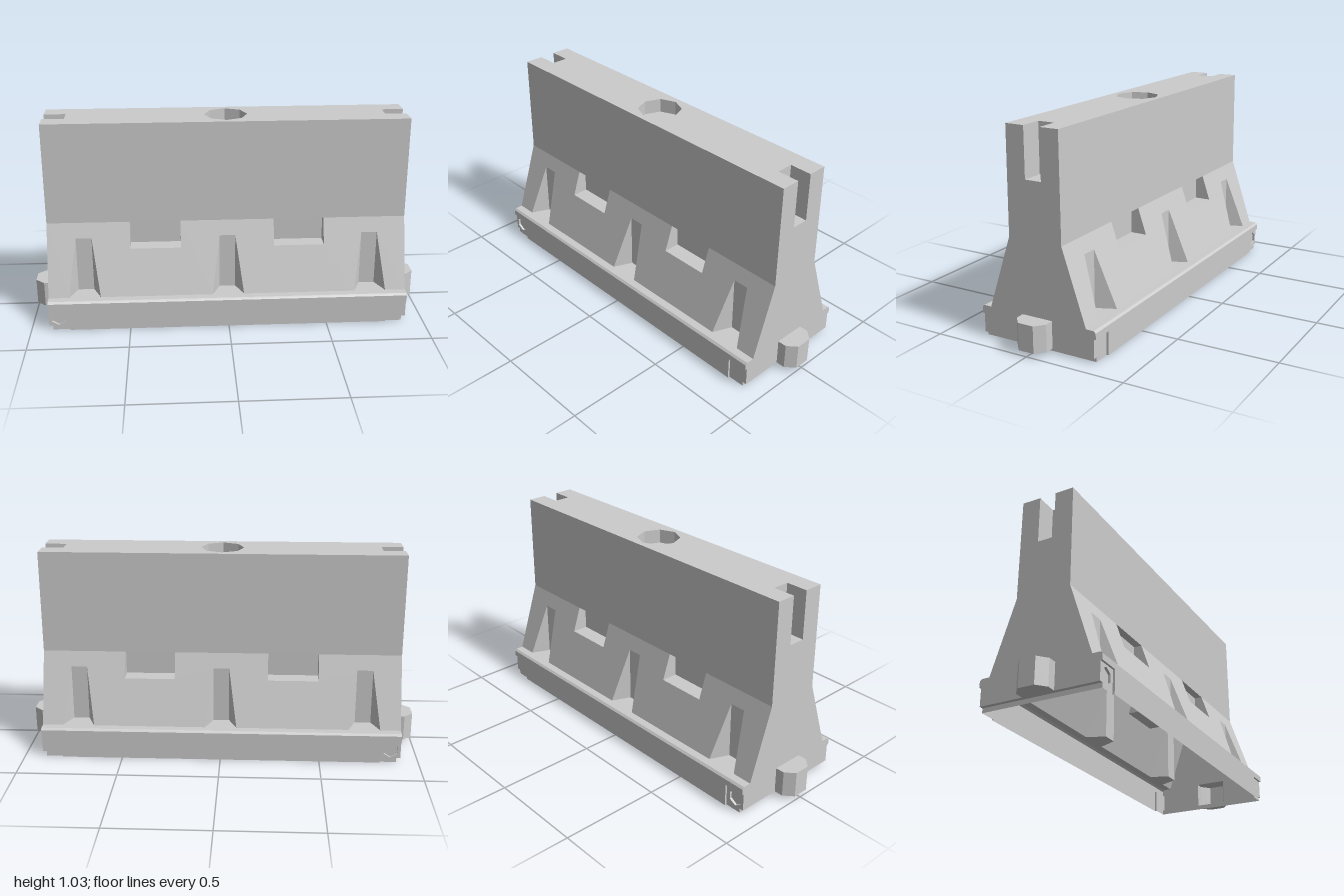
import * as THREE from 'three';
import { mergeGeometries } from 'three/addons/utils/BufferGeometryUtils.js';

const END = 0.91, FOOT = 0.89, LEDGE = 0.155, FOLD = 0.515, TOP = 1.03, STEP = 0.023;
const CORNER_X = 0.805, CORNER_Y = 0.115, SLOT_X = 0.8, SLOT_Y = 0.79, SLOT_Z = 0.042;
const slopeZ = (y) => 0.26 - (0.12 * (y - LEDGE)) / (FOLD - LEDGE);

export function createModel() {
  const group = new THREE.Group();
  const material = new THREE.MeshStandardMaterial({ color: 0xcccccc, flatShading: true, side: THREE.DoubleSide });
  const parts = {};

  // Stores a flat-sided surface, turned so that it faces along the hint
  function add(name, geometry, hint) {
    const g = geometry.index ? geometry.toNonIndexed() : geometry;
    g.deleteAttribute('uv');
    g.computeVertexNormals();
    const n = new THREE.Vector3().fromBufferAttribute(g.attributes.normal, 0);
    if (n.dot(new THREE.Vector3(...hint)) < 0) {
      const p = g.attributes.position;
      for (let i = 0; i < p.count; i += 3) {
        const a = new THREE.Vector3().fromBufferAttribute(p, i + 1);
        const b = new THREE.Vector3().fromBufferAttribute(p, i + 2);
        p.setXYZ(i + 1, b.x, b.y, b.z);
        p.setXYZ(i + 2, a.x, a.y, a.z);
      }
      g.computeVertexNormals();
    }
    (parts[name] ??= []).push(g);
  }

  // 2D outline with holes, placed in space by a mapping
  function panel(name, outline, map, hint, holes = []) {
    const toPoints = (list) => list.map(([u, v]) => new THREE.Vector2(u, v));
    const shape = new THREE.Shape(toPoints(outline));
    holes.forEach((h) => shape.holes.push(new THREE.Path(toPoints(h))));
    const g = new THREE.ShapeGeometry(shape);
    const p = g.attributes.position;
    for (let i = 0; i < p.count; i++) p.setXYZ(i, ...map(p.getX(i), p.getY(i)));
    add(name, g, hint);
  }

  // Convex polygon straight from corners in space
  function poly(name, corners, hint) {
    const pos = [];
    for (let i = 1; i < corners.length - 1; i++) pos.push(...corners[0], ...corners[i], ...corners[i + 1]);
    const g = new THREE.BufferGeometry();
    g.setAttribute('position', new THREE.Float32BufferAttribute(pos, 3));
    add(name, g, hint);
  }

  const ring = (sides, r, cx, cy, turn = 0) => Array.from({ length: sides }, (_, i) => {
    const a = turn + (i / sides) * Math.PI * 2;
    return [cx + r * Math.cos(a), cy + r * Math.sin(a)];
  });

  // Blind recess: walls around a ring plus its floor
  function recess(name, points, center, near, far, facing) {
    points.forEach((p, i) => {
      const q = points[(i + 1) % points.length];
      const inside = near(center[0] - (p[0] + q[0]) / 2, center[1] - (p[1] + q[1]) / 2, 0);
      poly(name, [near(...p), near(...q), far(...q), far(...p)], inside);
    });
    poly(name, points.map((p) => far(...p)), facing);
  }

  const notches = [-0.727, 0, 0.727];
  const windows = [-0.365, 0.365];
  const W = 0.128, SILL = 0.385, BACK = 0.1;

  for (const s of [1, -1]) {
    const out = [0, 0, s], up = [0, 1, 0], down = [0, -1, 0];

    // Upper wall
    poly('upperWall', [[-END, FOLD, s * 0.14], [END, FOLD, s * 0.14], [END, TOP, s * 0.137], [-END, TOP, s * 0.137]], out);

    // Sloping wall, cut by the notches below and the pockets above
    const slope = [[-END, LEDGE]];
    const ledge = [[-END, 0.26]];
    for (const c of notches) {
      slope.push([c - 0.08, LEDGE], [c - 0.04, 0.44], [c + 0.04, 0.44], [c + 0.08, LEDGE]);
      ledge.push([c - 0.08, 0.26], [c - 0.04, 0.165], [c + 0.04, 0.165], [c + 0.08, 0.26]);
    }
    slope.push([END, LEDGE], [END, FOLD]);
    for (const c of [...windows].reverse()) slope.push([c + W, FOLD], [c + W, SILL], [c - W, SILL], [c - W, FOLD]);
    slope.push([-END, FOLD]);
    ledge.push([END, 0.26], [END, 0.3], [-END, 0.3]);
    panel('slopingWall', slope, (x, y) => [x, y, s * slopeZ(y)], out);
    panel('ledge', ledge, (x, z) => [x, LEDGE, s * z], up);

    // Tapered notches
    for (const c of notches) {
      const zb = s * slopeZ(0.44);
      poly('notch', [[c - 0.04, LEDGE, zb], [c + 0.04, LEDGE, zb], [c + 0.04, 0.44, zb], [c - 0.04, 0.44, zb]], out);
      for (const d of [1, -1]) {
        poly('notch', [[c + d * 0.08, LEDGE, s * 0.26], [c + d * 0.04, LEDGE, zb], [c + d * 0.04, 0.44, zb]], [-d, 0, 0]);
      }
    }

    // Lifting pockets
    for (const c of windows) {
      const l = c - W, r = c + W, b = s * BACK, zs = s * slopeZ(SILL), zf = s * 0.14;
      poly('liftingPocket', [[l, SILL, b], [r, SILL, b], [r, FOLD, b], [l, FOLD, b]], out);
      poly('liftingPocket', [[l, SILL, b], [r, SILL, b], [r, SILL, zs], [l, SILL, zs]], up);
      poly('liftingPocket', [[l, FOLD, b], [r, FOLD, b], [r, FOLD, zf], [l, FOLD, zf]], down);
      for (const d of [1, -1]) {
        const x = c + d * W;
        poly('liftingPocket', [[x, SILL, b], [x, SILL, zs], [x, FOLD, zf], [x, FOLD, b]], [-d, 0, 0]);
      }
    }

    // Base band with a bevelled top edge
    const cx = CORNER_X, cy = CORNER_Y;
    panel('baseBand', [[-cx, 0], [cx, 0], [cx, cy], [END, cy], [END, 0.145], [-END, 0.145], [-END, cy], [-cx, cy]],
      (x, y) => [x, y, s * 0.31], out);
    poly('baseBand', [[-END, 0.145, s * 0.31], [END, 0.145, s * 0.31], [END, LEDGE, s * 0.3], [-END, LEDGE, s * 0.3]], [0, 1, s]);

    // Set-back corner plates, with a hexagonal socket at one end
    for (const e of [1, -1]) {
      const hex = ring(6, 0.04, -0.86, 0.065, Math.PI / 2);
      const plate = [[cx, 0], [FOOT, 0], [FOOT, STEP], [END, STEP], [END, cy], [cx, cy]].map(([x, y]) => [e * x, y]);
      panel('cornerPlate', plate, (x, y) => [x, y, s * 0.3], out, e < 0 ? [hex] : []);
      poly('cornerPlate', [[e * cx, cy, s * 0.3], [e * END, cy, s * 0.3], [e * END, cy, s * 0.31], [e * cx, cy, s * 0.31]], down);
      poly('cornerPlate', [[e * cx, 0, s * 0.3], [e * cx, cy, s * 0.3], [e * cx, cy, s * 0.31], [e * cx, 0, s * 0.31]], [e, 0, 0]);
      if (e < 0) {
        recess('hexSocket', hex, [-0.86, 0.065], (x, y, z = s * 0.3) => [x, y, z], (x, y) => [x, y, s * 0.288], out);
      }
    }
  }

  // Top with an octagonal filler well and end slots
  const well = ring(8, 0.108, 0, 0);
  const topHalf = [[END, -0.137], [END, -SLOT_Z], [SLOT_X, -SLOT_Z], [SLOT_X, SLOT_Z], [END, SLOT_Z], [END, 0.137]];
  panel('top', [...topHalf, ...topHalf.map(([x, z]) => [-x, -z])], (x, z) => [x, TOP, z], [0, 1, 0], [well]);
  recess('fillerWell', well, [0, 0], (x, z, y = TOP) => [x, y, z], (x, z) => [x, TOP - 0.07, z], [0, 1, 0]);

  // Ends
  const side = [[0.08, STEP], [0.3, STEP], [0.3, CORNER_Y], [0.31, CORNER_Y], [0.31, 0.145], [0.3, LEDGE],
    [0.26, LEDGE], [0.14, FOLD], [0.137, TOP], [SLOT_Z, TOP], [SLOT_Z, SLOT_Y]];
  const mirrored = [...side].reverse().map(([z, y]) => [-z, y]);
  const endOutline = [...side, ...mirrored, [-0.08, LEDGE], [0.08, LEDGE]];
  const lug = [[END, 0.08], [0.955, 0.08], [1, 0.04], [1, -0.04], [0.955, -0.08], [END, -0.08]];
  for (const e of [1, -1]) {
    panel('endWall', endOutline, (z, y) => [e * END, y, z], [e, 0, 0]);

    // Stepped foot below the end wall
    poly('endFoot', [[e * FOOT, 0, -0.3], [e * FOOT, 0, 0.3], [e * FOOT, STEP, 0.3], [e * FOOT, STEP, -0.3]], [e, 0, 0]);
    poly('endFoot', [[e * FOOT, STEP, -0.3], [e * FOOT, STEP, 0.3], [e * END, STEP, 0.3], [e * END, STEP, -0.3]], [0, -1, 0]);

    // Connector lug, open to the hollow inside
    for (let i = 0; i < lug.length - 1; i++) {
      const [ax, az] = lug[i], [bx, bz] = lug[i + 1];
      poly('connectorLug', [[e * ax, STEP, az], [e * bx, STEP, bz], [e * bx, LEDGE, bz], [e * ax, LEDGE, az]],
        [e * ((ax + bx) / 2 - END), 0, az + bz]);
    }
    for (const [y, n] of [[STEP, -1], [LEDGE, 1]]) poly('connectorLug', lug.map(([x, z]) => [e * x, y, z]), [0, n, 0]);

    // Connector slot at the top
    const a = e * SLOT_X, b = e * END, k = SLOT_Z;
    poly('endSlot', [[a, SLOT_Y, -k], [a, SLOT_Y, k], [a, TOP, k], [a, TOP, -k]], [e, 0, 0]);
    poly('endSlot', [[a, SLOT_Y, -k], [a, SLOT_Y, k], [b, SLOT_Y, k], [b, SLOT_Y, -k]], [0, 1, 0]);
    for (const s of [1, -1]) {
      poly('endSlot', [[a, SLOT_Y, s * k], [b, SLOT_Y, s * k], [b, TOP, s * k], [a, TOP, s * k]], [0, 0, -s]);
    }
  }

  for (const [name, list] of Object.entries(parts)) {
    const mesh = new THREE.Mesh(mergeGeometries(list), material);
    mesh.name = name;
    group.add(mesh);
  }
  return group;
}
